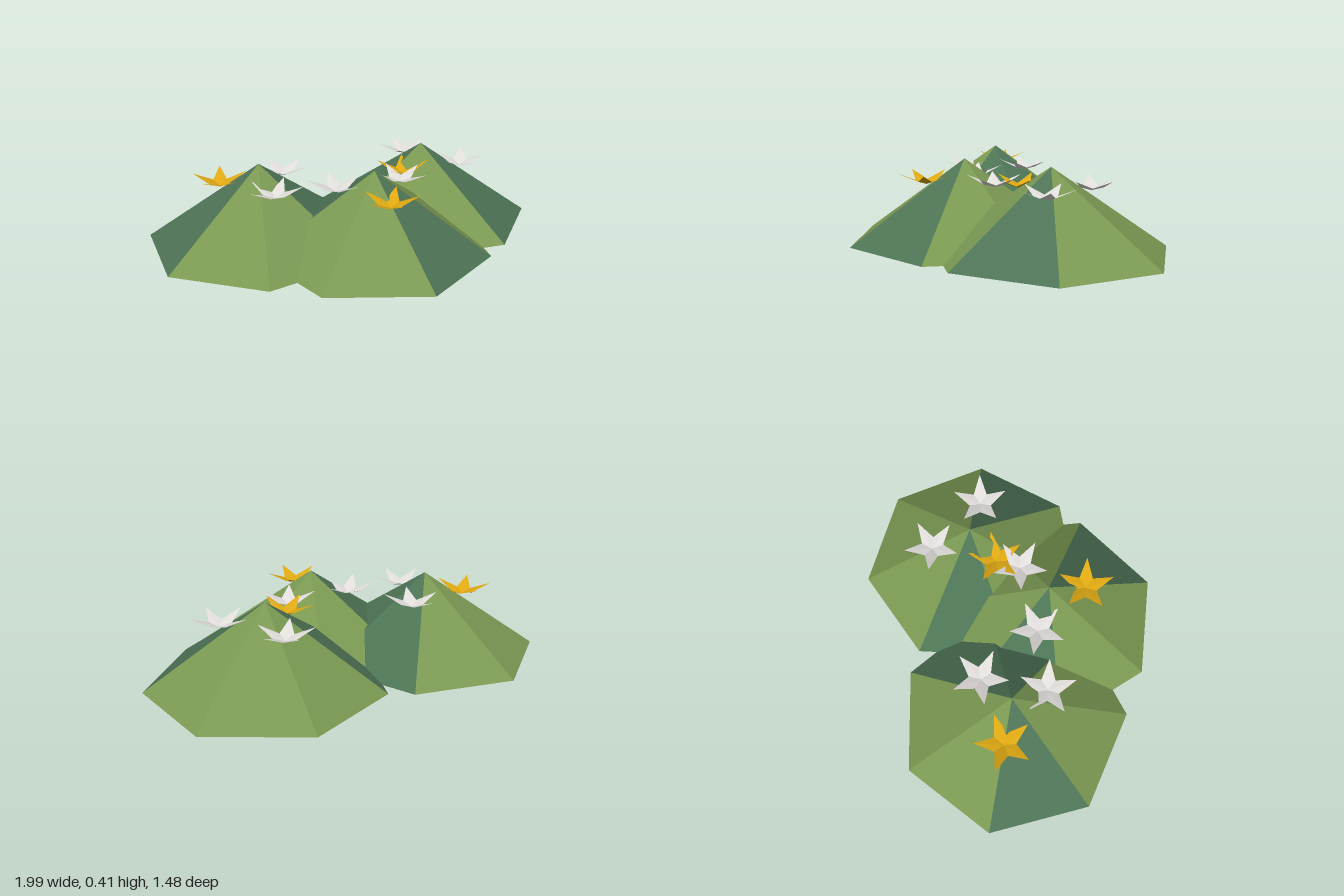
import * as THREE from 'three';

const mat = (name, color) => {
  const m = new THREE.MeshStandardMaterial({ color, flatShading: true, side: THREE.DoubleSide });
  m.name = name;
  return m;
};

// point on a circle in the ground plane, counter-clockwise seen from above
const polar = (r, a, y) => [r * Math.cos(a), y, -r * Math.sin(a)];
const deg = THREE.MathUtils.degToRad;

function triangles(name, list, material) {
  const g = new THREE.BufferGeometry();
  g.setAttribute('position', new THREE.Float32BufferAttribute(list.flat(2), 3));
  g.computeVertexNormals();
  const mesh = new THREE.Mesh(g, material);
  mesh.name = name;
  return mesh;
}

export function createModel() {
  const root = new THREE.Group();
  root.name = 'floweringBushes';
  const green = mat('leafGreen', 0x7a9852);
  const teal = mat('deepGreen', 0x4d7355);
  const gold = mat('goldPetal', 0xdfa912);
  const white = mat('whitePetal', 0xe0dddb);

  // open seven-sided cones, some facets in the deeper green
  const SIDES = 7, RADIUS = 0.588, HEIGHT = 0.405;
  function bush(name, x, z, phase, dark) {
    const faces = { light: [], dark: [] };
    for (let k = 0; k < SIDES; k++) {
      const a = deg(phase) + (k * 2 * Math.PI) / SIDES;
      const b = a + (2 * Math.PI) / SIDES;
      faces[dark.includes(k) ? 'dark' : 'light'].push(
        [[0, HEIGHT, 0], polar(RADIUS, a, 0), polar(RADIUS, b, 0)]);
    }
    const group = new THREE.Group();
    group.name = name;
    group.add(triangles('lightFacets', faces.light, green), triangles('darkFacets', faces.dark, teal));
    group.position.set(x, 0, z);
    root.add(group);
  }
  bush('rightBush', -0.47, -0.165, 0, [0, 3, 6]);
  bush('frontBush', 0.025, 0.15, -85.4, [0, 4]);
  bush('leftBush', 0.43, -0.155, -17.3, [3, 6]);

  // five-pointed cupped flowers, creased along each petal
  function flower(x, z, angle, material) {
    const list = [];
    const step = Math.PI / 5;
    for (let k = 0; k < 5; k++) {
      const a = deg(angle) + k * 2 * step;
      const c = [0, 0.285, 0];
      const tip = polar(0.142, a, 0.342);
      const before = polar(0.058, a - step, 0.302);
      const after = polar(0.058, a + step, 0.302);
      list.push([c, before, tip], [c, tip, after]);
    }
    const mesh = triangles('flower', list, material);
    mesh.position.set(x, 0, z);
    root.add(mesh);
  }
  flower(-0.65, -0.25, 77, gold);
  flower(-0.31, -0.283, 31, white);
  flower(-0.445, 0.02, -90, white);
  flower(-0.14, 0.05, 84, white);
  flower(0.21, 0.05, 96, white);
  flower(0.28, -0.06, 68, gold);
  flower(0.022, 0.345, -90, gold);
  flower(0.43, -0.36, 90, white);
  flower(0.62, -0.06, -85, white);

  return root;
}
